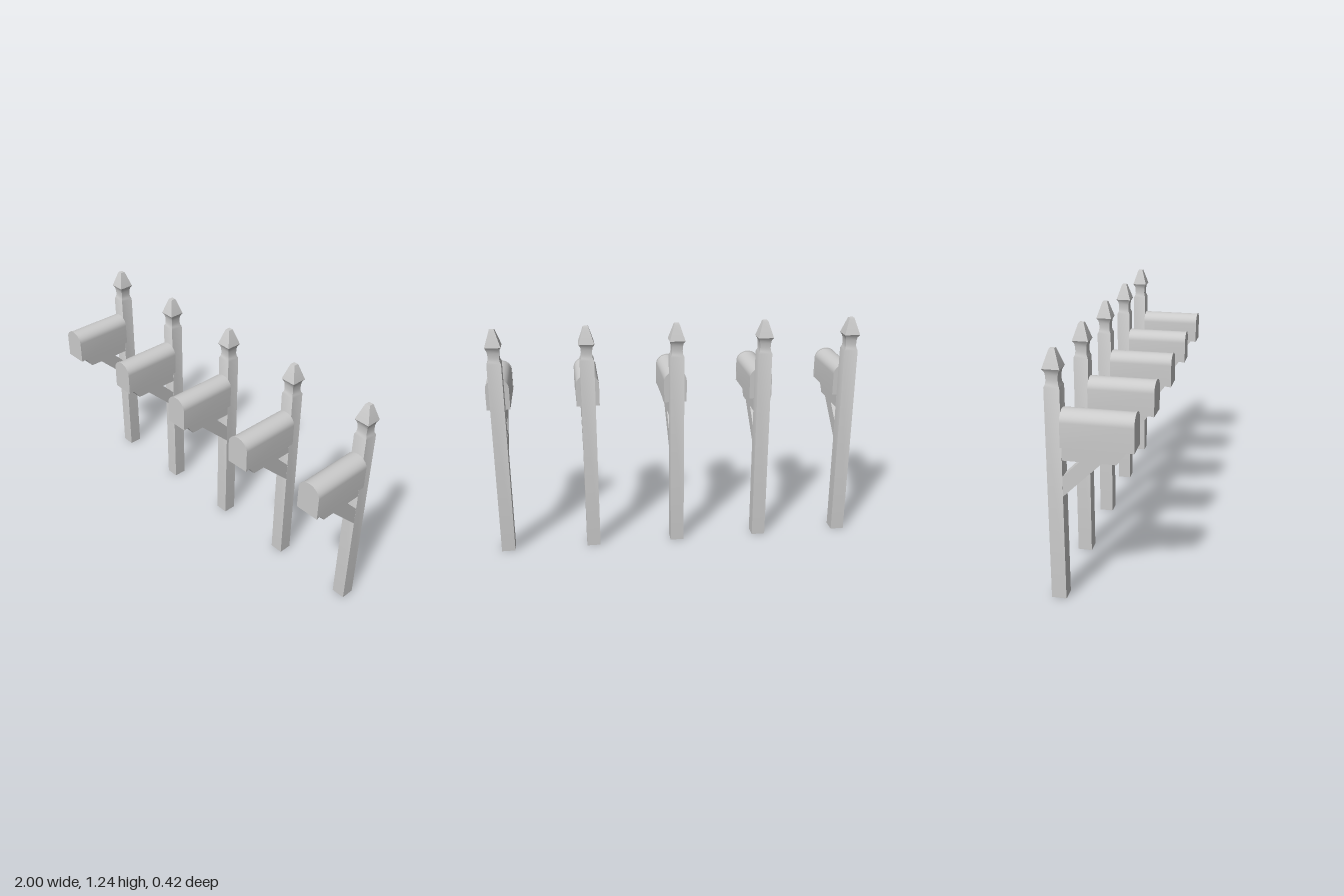
import * as THREE from 'three';
import { toCreasedNormals } from 'three/addons/utils/BufferGeometryUtils.js';

const material = new THREE.MeshStandardMaterial({ color: 0xcccccc });
const POST_Z = -0.168, POST_FRONT = -0.131, POST_WIDTH = 0.073, SPACING = 0.468;

function part(name, geometry, crease = 0.65) {
  const mesh = new THREE.Mesh(toCreasedNormals(geometry, crease), material);
  mesh.name = name;
  return mesh;
}

// Plate with a side outline given as [z, y] points, centred on x = 0
function sidePlate(points, width) {
  const shape = new THREE.Shape(points.map(([z, y]) => new THREE.Vector2(z, y)));
  const geometry = new THREE.ExtrudeGeometry(shape, { depth: width, bevelEnabled: false });
  return geometry.translate(0, 0, -width / 2).rotateY(-Math.PI / 2);
}

// Flat-bottomed box section with an arched top
function archShape(halfWidth, bottom, shoulder, top) {
  const shape = new THREE.Shape();
  shape.moveTo(-halfWidth, bottom);
  shape.lineTo(halfWidth, bottom);
  shape.lineTo(halfWidth, shoulder);
  shape.absellipse(0, shoulder, halfWidth, top - shoulder, 0, Math.PI, false, 0);
  return shape;
}

function archBlock(shape, depth) {
  return new THREE.ExtrudeGeometry(shape, { depth, bevelEnabled: false, curveSegments: 8 });
}

// Square post and its pointed finial, turned as one four-sided profile [half width, y]
function postGeometry() {
  const h = POST_WIDTH / 2;
  const profile = [
    [0, 0], [h, 0], [h, 1.066], [0.03, 1.08], [0.028, 1.098], [0.029, 1.12],
    [0.032, 1.137], [0.041, 1.152], [0.015, 1.233], [0.012, 1.239], [0, 1.239],
  ].map(([r, y]) => new THREE.Vector2(r * Math.SQRT2, y));
  return new THREE.LatheGeometry(profile, 4).rotateY(Math.PI / 4).translate(0, 0, POST_Z);
}

function mailbox(doorTurn) {
  const group = new THREE.Group();
  group.name = 'mailbox';
  group.add(part('post', postGeometry()));

  // Horizontal arm with a slanted front end
  group.add(part('arm', sidePlate(
    [[POST_FRONT, 0.725], [0.122, 0.725], [0.176, 0.798], [POST_FRONT, 0.798]], POST_WIDTH)));

  // Diagonal brace from post to arm
  group.add(part('brace', sidePlate(
    [[POST_FRONT, 0.545], [0.053, 0.725], [-0.05, 0.725], [POST_FRONT, 0.643]], POST_WIDTH)));

  // Arched body
  const body = part('boxBody', archBlock(archShape(0.061, 0.797, 0.915, 0.968), 0.332));
  body.position.z = POST_FRONT;
  group.add(body);

  // Front door, sitting slightly askew
  const door = part('door', archBlock(archShape(0.063, 0.796, 0.915, 0.971), 0.008));
  door.position.z = 0.2;
  door.rotation.y = doorTurn;
  group.add(door);
  return group;
}

export function createModel() {
  const model = new THREE.Group();
  model.name = 'mailboxRow';
  [0.01, -0.03, 0, 0.02, -0.01].forEach((turn, i) => {
    const box = mailbox(turn);
    box.position.x = (i - 2) * SPACING;
    model.add(box);
  });
  return model;
}
